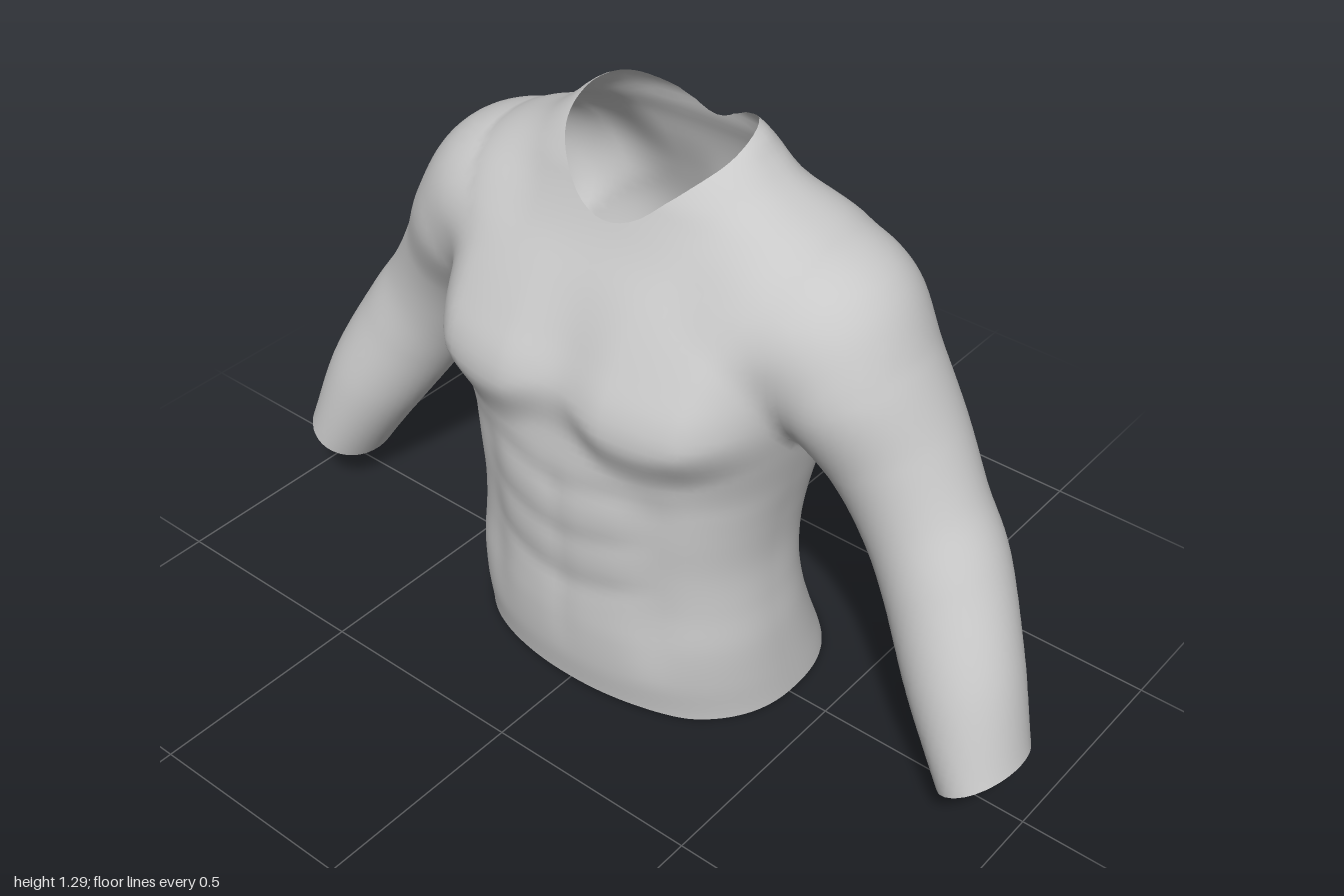
import * as THREE from 'three';

const ss = THREE.MathUtils.smoothstep;
const gauss = (t) => Math.exp(-t * t);

// Smooth interpolation over rows of [key, ...values]
function track(rows) {
  const size = rows[0].length - 1;
  const keys = new Float32Array(rows.map((r) => r[0]));
  return new THREE.CubicInterpolant(keys, new Float32Array(rows.flatMap((r) => r.slice(1))), size, new Float32Array(size));
}

// Trunk cross-sections: height, half width, front z, back z
const trunk = track([
  [-0.1, 0.41, 0.28, -0.33], [0, 0.402, 0.285, -0.31], [0.1, 0.394, 0.30, -0.27],
  [0.2, 0.385, 0.305, -0.235], [0.3, 0.372, 0.302, -0.222], [0.4, 0.366, 0.308, -0.235],
  [0.5, 0.375, 0.314, -0.255], [0.6, 0.393, 0.312, -0.278], [0.7, 0.413, 0.302, -0.295],
  [0.8, 0.428, 0.295, -0.308], [0.9, 0.44, 0.253, -0.306], [1.0, 0.44, 0.208, -0.285],
  [1.1, 0.42, 0.153, -0.252], [1.15, 0.37, 0.13, -0.236], [1.2, 0.30, 0.108, -0.215],
  [1.25, 0.237, 0.07, -0.20], [1.28, 0.205, 0.02, -0.175], [1.31, 0.15, -0.03, -0.14],
  [1.4, 0.05, -0.08, -0.10],
]);

// Arm from shoulder past the wrist: key, centre x y z, radius in xy, radius in z
const arm = track([
  [0, 0.33, 1.0, -0.07, 0.15, 0.20], [1, 0.42, 0.95, -0.06, 0.182, 0.208],
  [2, 0.50, 0.86, -0.05, 0.16, 0.192], [3, 0.585, 0.735, -0.065, 0.144, 0.158],
  [4, 0.66, 0.615, -0.06, 0.135, 0.138], [5, 0.735, 0.50, -0.042, 0.134, 0.139],
  [6, 0.83, 0.33, 0.01, 0.122, 0.13], [7, 0.915, 0.15, 0.045, 0.093, 0.118],
  [8, 0.97, 0.04, 0.06, 0.085, 0.11],
]);
const armPath = Array.from({ length: 97 }, (_, i) => Array.from(arm.evaluate(i / 12)));

// Muscle relief on the front of the trunk
function frontRelief(x, y) {
  const low = 0.69 + 0.06 * gauss(x / 0.1) + 1.6 * Math.max(0, x - 0.2) ** 2;
  const belly = ss(y, 0.08, 0.25) * (1 - ss(y, 0.55, 0.66));
  let r = 0.032 * ss(y, low - 0.05, low + 0.07) * (1 - ss(y, 0.83, 1.08)) *
    (1 - ss(x, 0.29, 0.43)) * (0.35 + 0.65 * ss(x, 0, 0.14));
  r -= 0.004 * gauss(x / 0.035) * belly;
  r -= 0.008 * gauss((x - 0.22) / 0.05) * belly;
  for (const row of [0.31, 0.44, 0.57]) r -= 0.004 * gauss((y - row - x * 0.2) / 0.035) * (1 - ss(x, 0.12, 0.26));
  return r;
}

// Spine groove, shoulder blades and the line below them
function backRelief(x, y) {
  return -0.03 * gauss(x / 0.075) * ss(y, 0.1, 0.5) * (1 - ss(y, 0.9, 1.12)) +
    0.018 * gauss((x - 0.25) / 0.12) * gauss((y - 0.87) / 0.17) -
    0.005 * gauss((y - 0.70 + (x - 0.25) * 0.5) / 0.04) * gauss((x - 0.27) / 0.08);
}

function trunkField(x, y, z) {
  const [w, zf, zb] = trunk.evaluate(y);
  const mid = (zf + zb) / 2, depth = (zf - zb) / 2, dz = z - mid;
  const chest = ss(y, 0.58, 0.8) * (1 - ss(y, 0.95, 1.15));
  const n = dz > 0 ? 2.2 + 0.8 * chest : 2.5 + 0.5 * chest;
  const rho = ((x / w) ** n + (Math.abs(dz) / depth) ** n) ** (1 / n);
  const side = ss(Math.abs(dz), 0.04, 0.15);
  return (rho - 1) * depth - side * (dz > 0 ? frontRelief(x, y) : backRelief(x, y));
}

function armField(x, y, z) {
  let best = Infinity, seg = 0, at = 0;
  for (let i = 0; i < armPath.length - 1; i++) {
    const a = armPath[i], b = armPath[i + 1];
    const dx = b[0] - a[0], dy = b[1] - a[1], px = x - a[0], py = y - a[1];
    const t = Math.min(1, Math.max(0, (px * dx + py * dy) / (dx * dx + dy * dy)));
    const d = (px - t * dx) ** 2 + (py - t * dy) ** 2;
    if (d < best) { best = d; seg = i; at = t; }
  }
  const mix = (k) => armPath[seg][k] + (armPath[seg + 1][k] - armPath[seg][k]) * at;
  const a = mix(3), b = mix(4);
  return (Math.hypot(Math.sqrt(best) / a, (z - mix(2)) / b) - 1) * Math.min(a, b);
}

// Trunk and mirrored arms, blended smoothly
function field(px, y, z) {
  const x = Math.abs(px), k = 0.03 + 0.06 * ss(y, 0.8, 1.05);
  const a = trunkField(x, y, z), b = armField(x, y, z);
  const h = Math.max(k - Math.abs(a - b), 0) / k;
  return Math.min(a, b) - h * h * k / 4;
}

function gradient([x, y, z]) {
  const e = 0.01;
  return new THREE.Vector3(
    field(x + e, y, z) - field(x - e, y, z),
    field(x, y + e, z) - field(x, y - e, z),
    field(x, y, z + e) - field(x, y, z - e)).divideScalar(2 * e);
}

// Positive where the shell is open: wrists, hem and neck
function opening([x, y, z]) {
  const wrist = 0.523 * (Math.abs(x) - 0.917) - 0.852 * (y - 0.147);
  const hem = 0.018 * ss(z, 0.2, 0.29) - y;
  const neck = y > 1 ? (1 - Math.hypot(x / 0.2, (z + 0.035) / 0.177)) * 0.19 : -1;
  return Math.max(wrist, Math.abs(x) < 0.6 ? hem : -1, neck);
}

// Grid surface of the field, as a list of quads
function surfaceQuads(step, origin, size) {
  const stride = [1, size[0], size[0] * size[1]];
  const total = stride[2] * size[2];
  const values = new Float32Array(total), points = new Array(total);
  const coords = (id) => [id % size[0], Math.floor(id / stride[1]) % size[1], Math.floor(id / stride[2])];
  const place = (c) => c.map((v, i) => origin[i] + v * step);
  for (let id = 0; id < total; id++) values[id] = field(...place(coords(id)));

  const cellPoint = (id) => {
    if (points[id]) return points[id];
    const c = coords(id), sum = [0, 0, 0];
    let count = 0;
    for (let corner = 0; corner < 8; corner++) for (let a = 0; a < 3; a++) {
      if (corner >> a & 1) continue;
      const o = [corner & 1, corner >> 1 & 1, corner >> 2 & 1];
      const from = id + o[0] + o[1] * stride[1] + o[2] * stride[2];
      const v0 = values[from], v1 = values[from + stride[a]];
      if (v0 < 0 === v1 < 0) continue;
      o[a] += v0 / (v0 - v1);
      for (let i = 0; i < 3; i++) sum[i] += c[i] + o[i];
      count++;
    }
    const p = place(sum.map((s) => s / count));
    // Pull the point onto the surface
    const g = gradient(p), move = field(...p) / Math.max(g.lengthSq(), 0.2);
    const shift = g.multiplyScalar(-move).clampLength(0, step * 0.5);
    return (points[id] = [p[0] + shift.x, p[1] + shift.y, p[2] + shift.z]);
  };

  const quads = [];
  for (let id = 0; id < total; id++) {
    const c = coords(id);
    if (c.some((v, i) => v < 1 || v > size[i] - 2)) continue;
    for (let a = 0; a < 3; a++) {
      const inside = values[id] < 0;
      if (inside === values[id + stride[a]] < 0) continue;
      const b = stride[(a + 1) % 3], d = stride[(a + 2) % 3];
      const quad = [id, id - b, id - b - d, id - d].map(cellPoint);
      quads.push(inside ? quad : quad.reverse());
    }
  }
  return quads;
}

// Keep the part of a polygon outside the openings
function clip(poly) {
  const out = [];
  poly.forEach((p, i) => {
    const q = poly[(i + 1) % poly.length], a = opening(p), b = opening(q);
    if (a <= 0) out.push(p);
    if (a <= 0 !== b <= 0) out.push(p.map((v, k) => v + (q[k] - v) * a / (a - b)));
  });
  return out;
}

export function createModel() {
  const positions = [], normals = [], cache = new Map();
  const normalAt = (p) => {
    if (!cache.has(p)) cache.set(p, gradient(p).normalize().toArray());
    return cache.get(p);
  };
  for (const [a, b, c, d] of surfaceQuads(0.02, [-1.07, -0.08, -0.41], [108, 74, 41])) {
    for (const tri of [[a, b, c], [a, c, d]]) {
      const poly = clip(tri);
      for (let i = 1; i + 1 < poly.length; i++) for (const p of [poly[0], poly[i], poly[i + 1]]) {
        positions.push(...p);
        normals.push(...normalAt(p));
      }
    }
  }
  const geometry = new THREE.BufferGeometry();
  geometry.setAttribute('position', new THREE.Float32BufferAttribute(positions, 3));
  geometry.setAttribute('normal', new THREE.Float32BufferAttribute(normals, 3));

  const grey = new THREE.MeshStandardMaterial({ color: 0xc8c8c8, side: THREE.DoubleSide });
  grey.name = 'plain grey';
  const shell = new THREE.Mesh(geometry, grey);
  shell.name = 'torsoAndArms';
  const group = new THREE.Group();
  group.name = 'muscularTorso';
  group.add(shell);
  return group;
}
